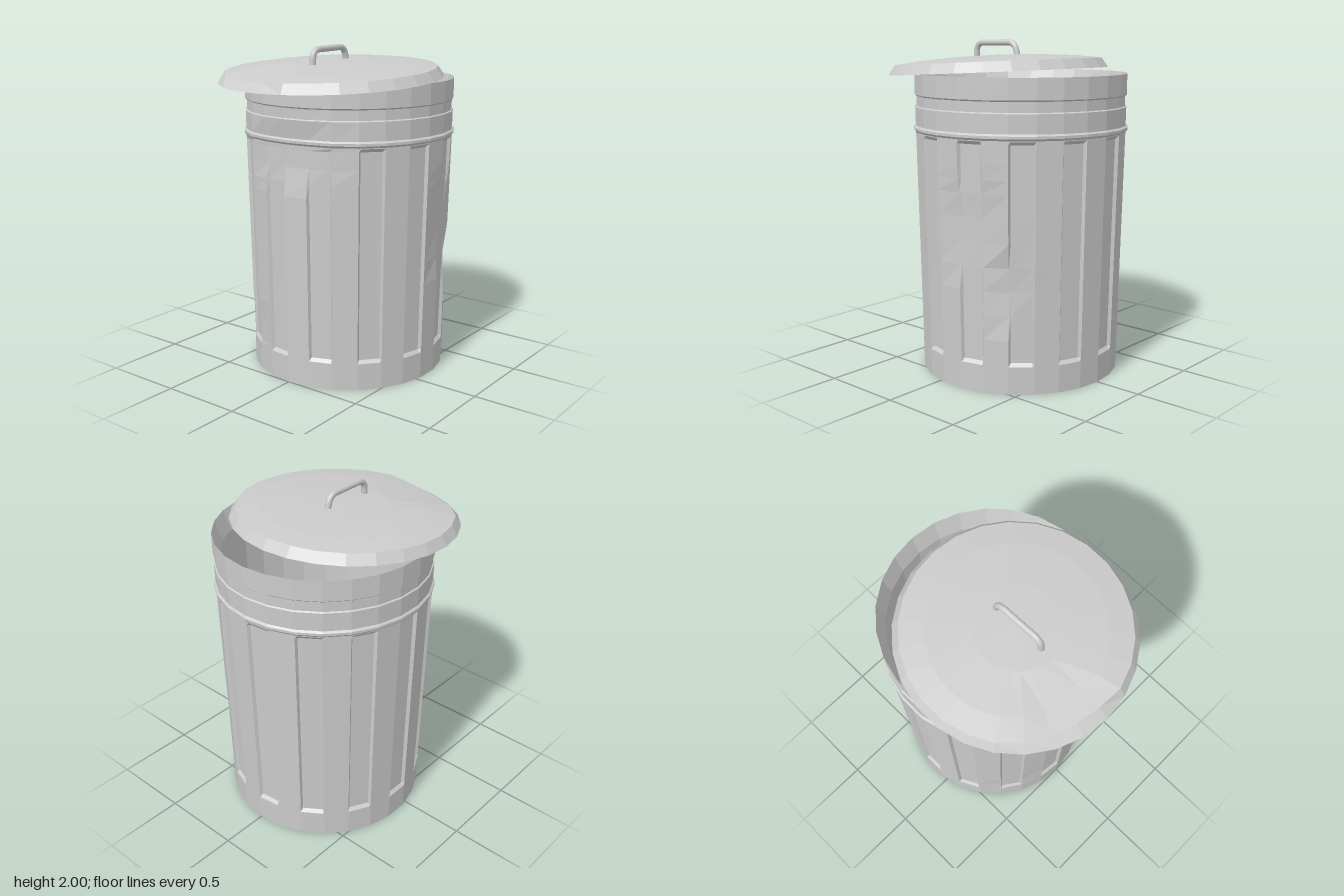
import * as THREE from 'three';

const SIDES = 26, STEP = (Math.PI * 2) / SIDES, BODY_Z = -0.106;
const mat = new THREE.MeshStandardMaterial({ color: 0xcccccc, flatShading: true, side: THREE.DoubleSide });
const smooth = new THREE.MeshStandardMaterial({ color: 0xcccccc });

// Outer wall: tapered drum, bead, and stepped bands up to the rim
const PROFILE = [[0.605, 0], [0.636, 1.46], [0.647, 1.472], [0.647, 1.487], [0.636, 1.497],
  [0.638, 1.607], [0.63, 1.613], [0.63, 1.672], [0.64, 1.68], [0.64, 1.802]];
const PANEL = { low: 0.165, high: 1.455, depth: 0.018 };
const ROWS = [0, 0.165, 0.185, 0.32, 0.46, 0.6, 0.74, 0.88, 1.02, 1.16, 1.24, 1.33, 1.435, 1.455,
  ...PROFILE.slice(1).map((p) => p[1])];

// Dents: angle from the front, height, angular and vertical spread, depth
const DENTS = [[0.05, 1.4, 0.36, 0.15, 0.026], [1.8, 0.95, 0.2, 0.24, 0.024],
  [2.15, 0.62, 0.18, 0.16, 0.026], [-0.6, 0.26, 0.14, 0.08, 0.02]];

function dentAt(angle, y) {
  let d = 0;
  for (const [a, h, wa, wy, depth] of DENTS) {
    const da = Math.atan2(Math.sin(angle - a), Math.cos(angle - a)) / wa;
    const q = da * da + ((y - h) / wy) ** 2;
    d += depth * Math.exp(-q * q * 0.5);
  }
  return d;
}

function radiusAt(y) {
  const i = Math.max(1, PROFILE.findIndex((p) => p[1] >= y));
  const [r0, y0] = PROFILE[i - 1], [r1, y1] = PROFILE[i];
  return r0 + ((r1 - r0) * (y - y0)) / (y1 - y0);
}

// Point on facet k at fraction u, pushed in by the panel recess or a dent
function wallPoint(k, u, y, recessed) {
  const a0 = k * STEP, a1 = a0 + STEP, a = a0 + u * STEP, r = radiusAt(y);
  const inset = Math.max(recessed ? PANEL.depth : 0, dentAt(a, y));
  return [
    r * (Math.sin(a0) * (1 - u) + Math.sin(a1) * u) - Math.sin(a) * inset, y,
    r * (Math.cos(a0) * (1 - u) + Math.cos(a1) * u) - Math.cos(a) * inset];
}

function wallGeometry() {
  const pos = [];
  for (let k = 0; k < SIDES; k++) {
    const hasPanel = k % 2 === 1;
    const cols = hasPanel ? [0, 0.07, 0.93, 1] : [0, 1];
    for (let j = 0; j < ROWS.length - 1; j++) {
      for (let i = 0; i < cols.length - 1; i++) {
        const p = (ci, rj) => wallPoint(k, cols[ci], ROWS[rj],
          hasPanel && ci > 0 && ci < 3 && ROWS[rj] > PANEL.low && ROWS[rj] < PANEL.high);
        const a = p(i, j), b = p(i + 1, j), c = p(i + 1, j + 1), d = p(i, j + 1);
        pos.push(...a, ...b, ...c, ...a, ...c, ...d);
      }
    }
  }
  const g = new THREE.BufferGeometry();
  g.setAttribute('position', new THREE.Float32BufferAttribute(pos, 3));
  g.computeVertexNormals();
  return g;
}

const lathe = (points) => new THREE.LatheGeometry(points.map(([r, y]) => new THREE.Vector2(r, y)), SIDES);

export function createModel() {
  const model = new THREE.Group();
  const add = (parent, name, geometry, material = mat) => {
    const m = new THREE.Mesh(geometry, material);
    m.name = name;
    parent.add(m);
    return m;
  };

  // Can: wall, base and hollow inside
  const can = new THREE.Group();
  can.name = 'can';
  can.position.z = BODY_Z;
  model.add(can);
  add(can, 'wall', wallGeometry());
  add(can, 'base', lathe([[0, 0], [0.605, 0]]));
  add(can, 'inside', lathe([[0, 0.03], [0.56, 0.03], [0.598, 1.68], [0.64, 1.802]]));

  // Lid: shallow dome with a flared rim, slid forward and tipped down at the front
  const lid = new THREE.Group();
  lid.name = 'lid';
  lid.position.set(0, 1.806, 0.076);
  lid.rotation.x = 0.052;
  model.add(lid);
  const dome = lathe([[0.673, 0], [0.636, 0.058], [0.5, 0.077], [0.25, 0.094], [0, 0.1]]);
  const p = dome.attributes.position;
  for (let i = 0; i < p.count; i++) {
    const x = p.getX(i), z = p.getZ(i), r = Math.hypot(x, z);
    // Dented front edge
    if (r > 0.4 && r < 0.66) {
      const d = Math.exp(-(((Math.atan2(x, z) + 0.3) / 0.42) ** 4));
      const s = 1 - 0.06 * d;
      p.setXYZ(i, x * s, p.getY(i) - 0.014 * d, z * s);
    }
  }
  add(lid, 'lidDome', dome);

  // Handle: bent rod standing on the lid
  const v = (y, z) => new THREE.Vector3((z - 0.08) * 0.02, y, z);
  const path = new THREE.CurvePath();
  path.add(new THREE.LineCurve3(v(1.87, 0.255), v(1.925, 0.252)));
  path.add(new THREE.QuadraticBezierCurve3(v(1.925, 0.252), v(1.978, 0.248), v(1.979, 0.195)));
  path.add(new THREE.LineCurve3(v(1.979, 0.195), v(1.981, -0.01)));
  path.add(new THREE.QuadraticBezierCurve3(v(1.981, -0.01), v(1.981, -0.055), v(1.935, -0.068)));
  path.add(new THREE.LineCurve3(v(1.935, -0.068), v(1.88, -0.08)));
  add(model, 'lidHandle', new THREE.TubeGeometry(path, 40, 0.019, 10), smooth);

  return model;
}
